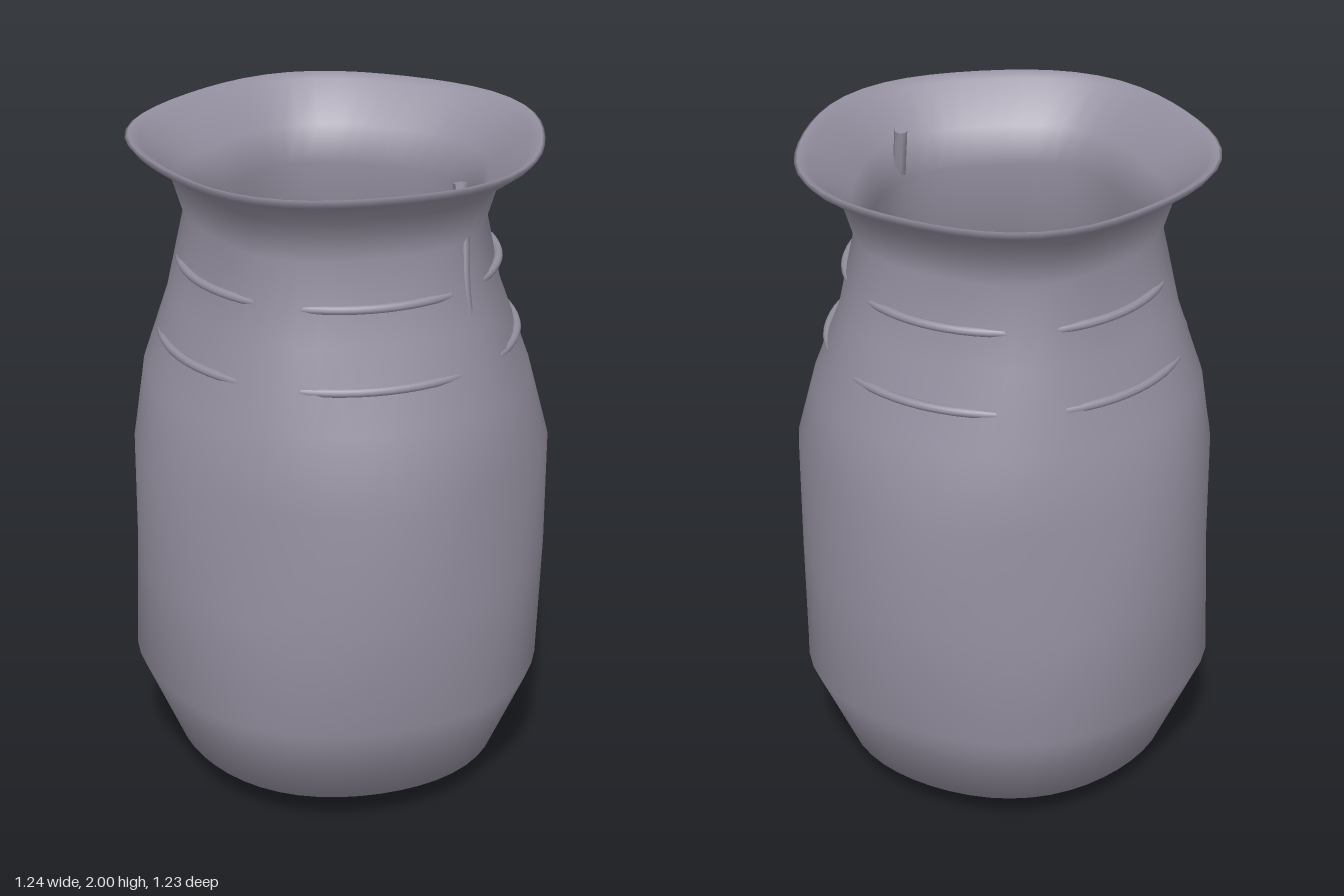
import * as THREE from 'three';

const SIDES = 50;

// Rings of [height, mean radius, five-sidedness], swept around y into one smooth closed shell
function pentagonShell(rings) {
  const pos = [], index = [];
  for (const [y, r, e] of rings) {
    for (let j = 0; j < SIDES; j++) {
      const t = (j / SIDES) * Math.PI * 2;
      const k = r * (1 + e * Math.cos(5 * t));
      pos.push(k * Math.cos(t), y, k * Math.sin(t));
    }
  }
  for (let i = 0; i < rings.length - 1; i++) {
    for (let j = 0; j < SIDES; j++) {
      const n = (j + 1) % SIDES;
      const a = i * SIDES + j, b = i * SIDES + n;
      const c = a + SIDES, d = b + SIDES;
      index.push(a, c, b, b, c, d);
    }
  }
  const g = new THREE.BufferGeometry();
  g.setAttribute('position', new THREE.Float32BufferAttribute(pos, 3));
  g.setIndex(index);
  g.computeVertexNormals();
  return g;
}

// Tube along a curve whose radius shrinks towards the far end
function taperedTube(points, r0, r1) {
  const curve = new THREE.CatmullRomCurve3(points.map(p => new THREE.Vector3(...p)));
  const steps = 12, sides = 6;
  const g = new THREE.TubeGeometry(curve, steps, 1, sides, false);
  const p = g.attributes.position, v = new THREE.Vector3();
  for (let i = 0; i <= steps; i++) {
    const c = curve.getPointAt(i / steps);
    const r = r0 + (r1 - r0) * Math.pow(i / steps, 2);
    for (let j = 0; j <= sides; j++) {
      const n = i * (sides + 1) + j;
      v.fromBufferAttribute(p, n).sub(c).multiplyScalar(r).add(c);
      p.setXYZ(n, v.x, v.y, v.z);
    }
  }
  g.computeVertexNormals();
  return { geometry: g, start: curve.getPointAt(0), tangent: curve.getTangentAt(0) };
}

export function createModel() {
  const group = new THREE.Group();
  const clay = new THREE.MeshStandardMaterial({ color: 0x9590a0 });
  clay.name = 'greyViolet';

  const add = (name, geometry) => {
    const m = new THREE.Mesh(geometry, clay);
    m.name = name;
    group.add(m);
    return m;
  };

  // Jar wall: outside from the pointed base up, over the lip, then down the inside to the floor
  add('jarBody', pentagonShell([
    [0, 0, 0],
    [0.1, 0.492, 0.008],
    [0.38, 0.613, 0.013],
    [0.73, 0.612, -0.01],
    [1.08, 0.612, -0.012],
    [1.3, 0.567, 0.015],
    [1.53, 0.485, 0.03],
    [1.77, 0.434, 0.03],
    [1.9, 0.474, 0.027],
    [1.975, 0.578, 0.02],
    [1.995, 0.594, 0.02],
    [2.0, 0.585, 0.02],
    [1.985, 0.555, 0.022],
    [1.88, 0.44, 0.03],
    [1.77, 0.4, 0.035],
    [1.53, 0.45, 0.03],
    [1.3, 0.535, 0.015],
    [1.08, 0.58, -0.012],
    [0.4, 0.58, 0.013],
    [0.15, 0.46, 0.008],
    [0.14, 0.43, 0.008],
    [0.13, 0, 0],
  ]));

  // Round cords, showing only where the five flatter sides dip inside them
  for (const [name, y, outer] of [['upperCord', 1.64, 0.472], ['lowerCord', 1.42, 0.531]]) {
    const tube = 0.013;
    const cord = add(name, new THREE.TorusGeometry(outer - tube, tube, 8, 72));
    cord.rotation.x = Math.PI / 2;
    cord.position.y = y;
  }

  // Thin thorn passing through the neck wall
  const thorn = taperedTube([
    [0.41, 1.93, -0.025], [0.43, 1.8, -0.015], [0.462, 1.65, 0.012], [0.497, 1.48, 0.012],
  ], 0.02, 0.008);
  add('thorn', thorn.geometry);
  const cap = add('thornEnd', new THREE.CircleGeometry(0.02, 6));
  cap.position.copy(thorn.start);
  cap.lookAt(thorn.start.clone().sub(thorn.tangent));

  return group;
}
